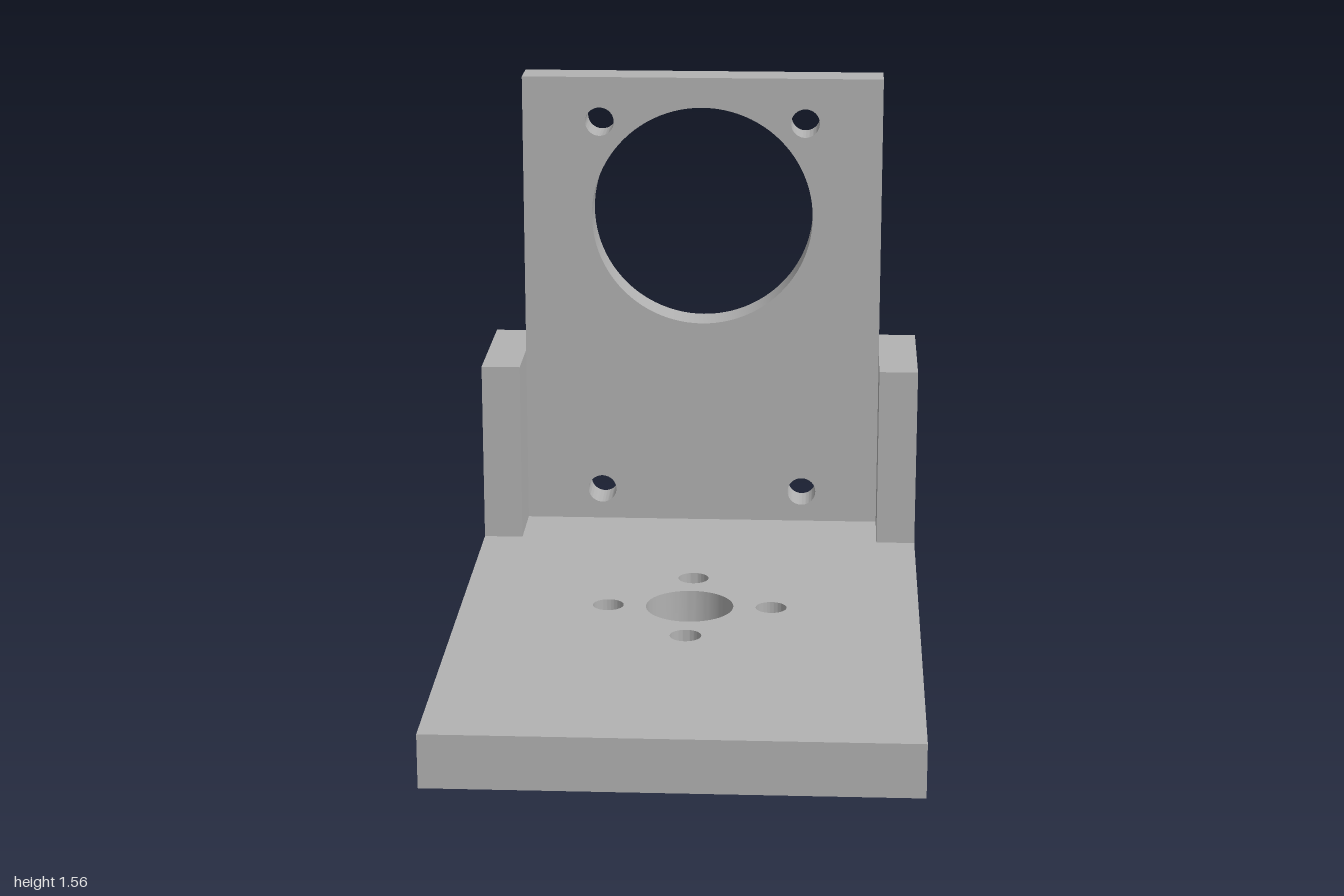
import * as THREE from 'three';
import { toCreasedNormals } from 'three/addons/utils/BufferGeometryUtils.js';

const HUB_Z = 0.035; // centre of the pivot holes in the base

function addHoles(shape, holes) {
  for (const [x, y, r] of holes) {
    shape.holes.push(new THREE.Path().absarc(x, y, r, 0, Math.PI * 2, true));
  }
  return shape;
}

function rectangle(x0, y0, x1, y1) {
  return new THREE.Shape([
    new THREE.Vector2(x0, y0), new THREE.Vector2(x1, y0),
    new THREE.Vector2(x1, y1), new THREE.Vector2(x0, y1),
  ]);
}

function extrude(shape, depth) {
  const geometry = new THREE.ExtrudeGeometry(shape, { depth, bevelEnabled: false, curveSegments: 48 });
  return toCreasedNormals(geometry, 0.5);
}

export function createModel() {
  const model = new THREE.Group();
  model.name = 'sensorBracket';
  const grey = new THREE.MeshStandardMaterial({ color: 0xb2b2b2 });
  grey.name = 'grey';

  function add(name, geometry, x = 0, y = 0, z = 0) {
    const mesh = new THREE.Mesh(geometry, grey);
    mesh.name = name;
    mesh.position.set(x, y, z);
    model.add(mesh);
  }

  // Central bore and four screw holes, shared by base and hub disc (shape y is -z)
  const hubHoles = [[0, -HUB_Z, 0.125]];
  for (let i = 0; i < 4; i++) {
    const a = i * Math.PI / 2;
    hubHoles.push([0.233 * Math.cos(a), -HUB_Z + 0.233 * Math.sin(a), 0.044]);
  }

  // Flat base
  const base = addHoles(rectangle(-0.654, -1, 0.654, 1), hubHoles);
  add('base', extrude(base, 0.15).rotateX(-Math.PI / 2), 0, 0.025, 0);

  // Thin round boss under the base
  const disc = new THREE.Shape().absarc(0, -HUB_Z, 0.328, 0, Math.PI * 2, false);
  add('hubDisc', extrude(addHoles(disc, hubHoles), 0.025).rotateX(-Math.PI / 2));

  // Upright plate with a large opening and four mounting holes
  const plateHoles = [[0, 1.137, 0.333]];
  for (const x of [-0.308, 0.308]) {
    for (const y of [0.27, 1.425]) plateHoles.push([x, y, 0.043]);
  }
  const plate = addHoles(rectangle(-0.539, 0.175, 0.539, 1.56), plateHoles);
  add('uprightPlate', extrude(plate, 0.114), 0, 0, -0.847);

  // Side supports
  for (const [name, side] of [['leftSupport', 1], ['rightSupport', -1]]) {
    add(name, new THREE.BoxGeometry(0.115, 0.538, 0.422), side * 0.5965, 0.444, -0.751);
  }

  return model;
}
